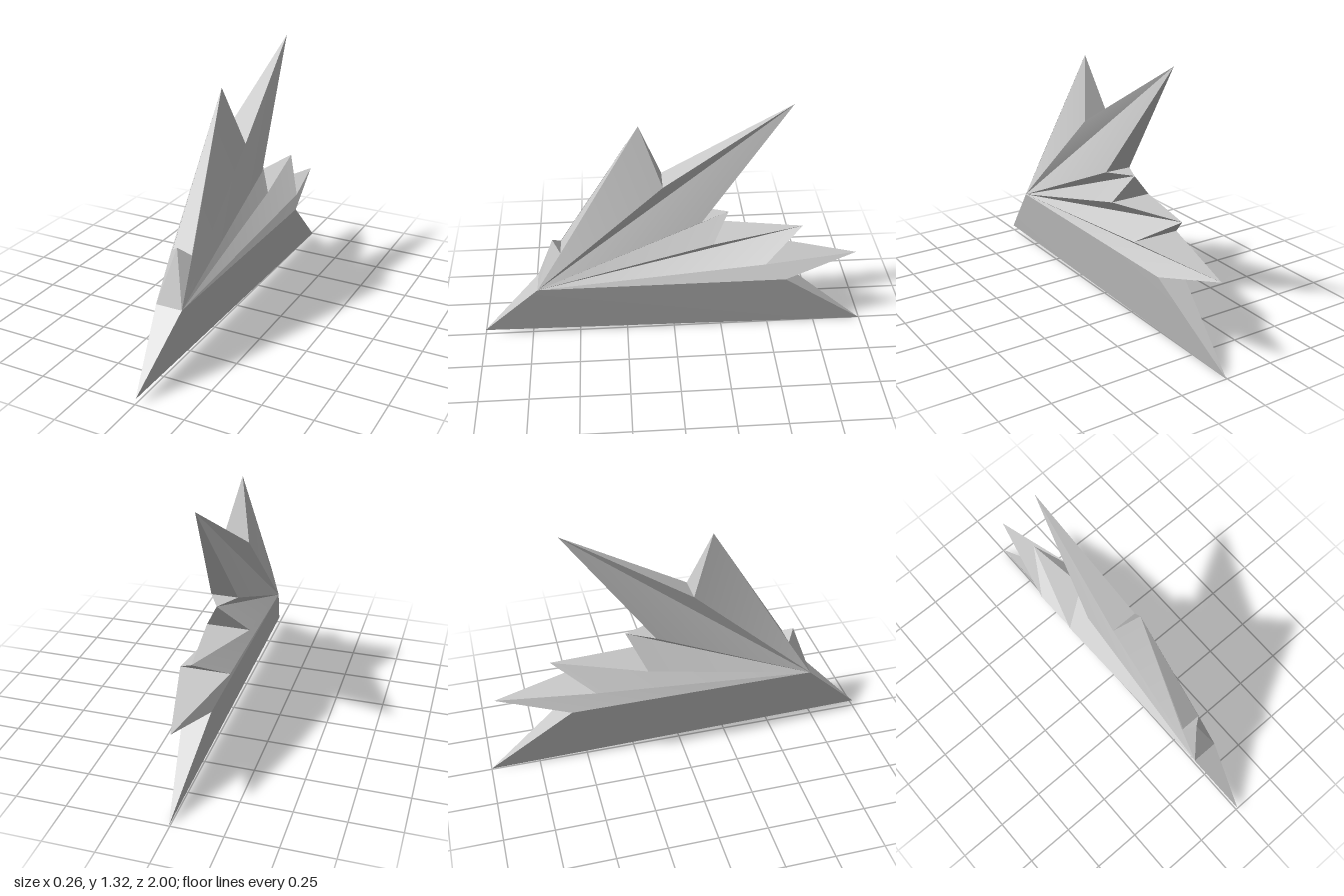
import * as THREE from 'three';
import { toCreasedNormals } from 'three/addons/utils/BufferGeometryUtils.js';

const MID = 0.005; // x of every spike tip

// Valleys: left edge x (model's -x side), +x side, y, z. The first is the shoulder, the last the rear base.
const valleys = [
  [-0.06, 0.075, 0.34, 0.70],
  [-0.05, 0.06, 0.555, 0.57],
  [-0.06, 0.075, 0.93, 0.06],
  [-0.06, 0.075, 0.72, -0.13],
  [-0.135, 0.08, 0.585, -0.19],
  [-0.115, 0.13, 0.485, -0.45],
  [-0.06, 0.075, 0.34, -0.57],
].map(([a, b, y, z]) => ({ n: [a, y, z], p: [b, y, z] }));

// Spike tips (y, z) between successive valleys
const tips = [
  [0.60, 0.61],
  [1.23, 0.17],
  [1.32, -0.56],
  [0.73, -0.27],
  [0.625, -0.65],
  [0.445, -0.94],
].map(([y, z]) => [MID, y, z]);

function meshFrom(triangles, name, material) {
  const geometry = new THREE.BufferGeometry();
  geometry.setAttribute('position', new THREE.Float32BufferAttribute(triangles.flat(2), 3));
  const mesh = new THREE.Mesh(toCreasedNormals(geometry, 0.45), material);
  mesh.name = name;
  return mesh;
}

export function createModel() {
  const group = new THREE.Group();
  group.name = 'spikedShard';
  const grey = new THREE.MeshStandardMaterial({ color: 0xc8c8c8, side: THREE.DoubleSide });
  grey.name = 'light grey';

  const shoulder = valleys[0];
  const rear = valleys[valleys.length - 1];

  // Fan of spikes: both flanks radiate from the shoulder, narrow faces close the edges
  const fan = [];
  tips.forEach((tip, i) => {
    const a = valleys[i], b = valleys[i + 1];
    if (i > 0) fan.push([shoulder.p, tip, a.p], [shoulder.n, a.n, tip]);
    fan.push([shoulder.p, b.p, tip], [shoulder.n, tip, b.n]);
    fan.push([a.p, tip, a.n], [b.n, tip, b.p]);
  });
  group.add(meshFrom(fan, 'spikeFan', grey));

  // Keel: wedge narrowing to a sharp lower edge
  const front = [MID, 0.03, 1], back = [MID, 0, -1];
  const keel = [
    [shoulder.p, front, back], [shoulder.p, back, rear.p],
    [shoulder.n, back, front], [shoulder.n, rear.n, back],
    [shoulder.n, front, shoulder.p], [rear.p, back, rear.n],
  ];
  group.add(meshFrom(keel, 'keel', grey));
  return group;
}
